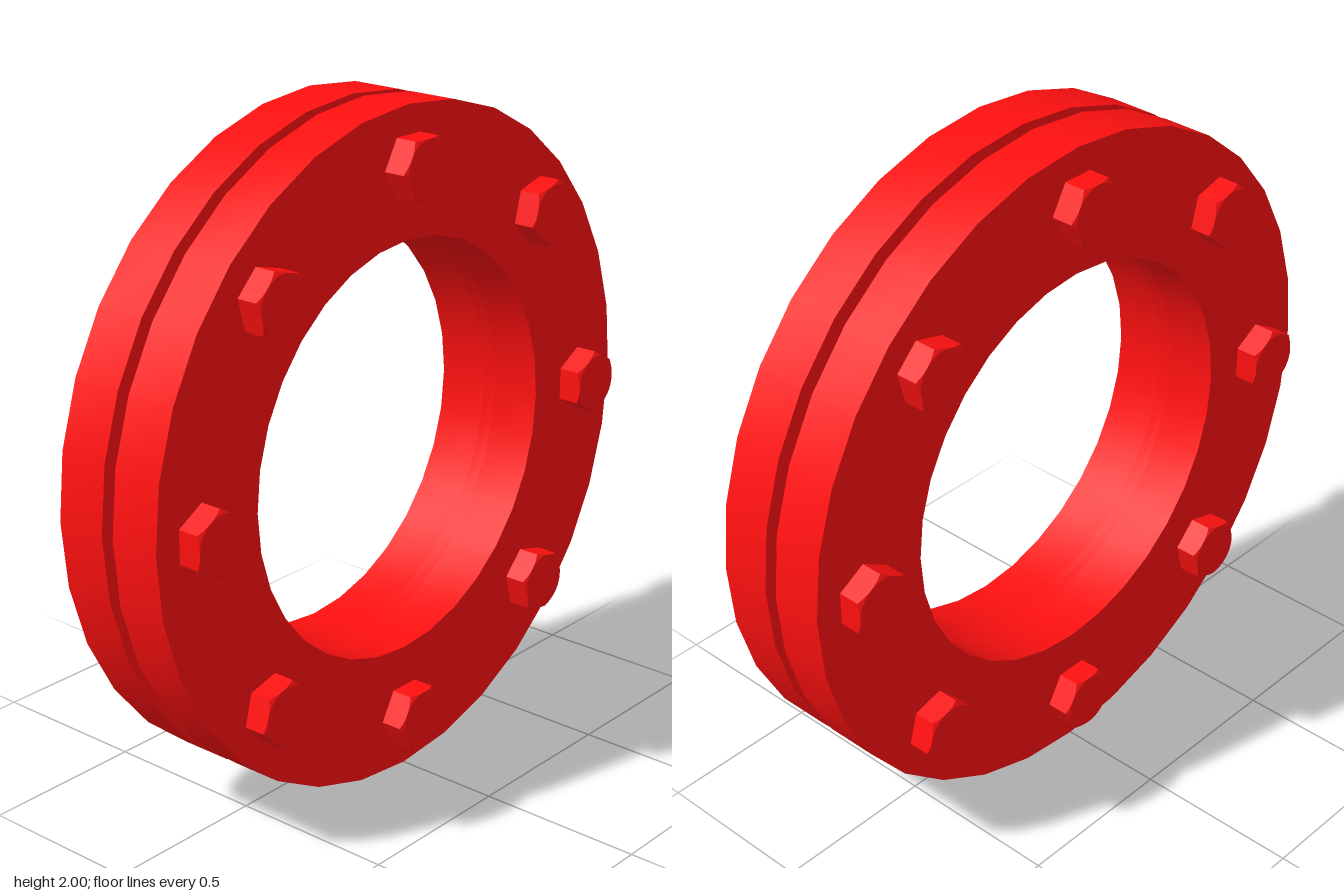
import * as THREE from 'three';
import { toCreasedNormals } from 'three/addons/utils/BufferGeometryUtils.js';

const red = new THREE.MeshStandardMaterial({ color: 0xff1010 });

// Flat ring about the x axis, spanning x0..x1
function ring(name, inner, outer, x0, x1) {
  const profile = [[inner, x0], [outer, x0], [outer, x1], [inner, x1], [inner, x0]]
    .map(([r, x]) => new THREE.Vector2(r, x));
  const geo = toCreasedNormals(new THREE.LatheGeometry(profile, 32), 0.6);
  geo.rotateZ(-Math.PI / 2);
  const mesh = new THREE.Mesh(geo, red);
  mesh.name = name;
  return mesh;
}

// Hexagonal head along +x, its corners trimmed by a shallow cone
function boltHeadGeometry(apothem, height) {
  const base = 1; // marks the rings that follow the hexagon
  const profile = [[base, 0], [base, height], [apothem, height], [0, height]]
    .map(([r, y]) => new THREE.Vector2(r, y));
  const lathe = new THREE.LatheGeometry(profile, 48);
  const p = lathe.attributes.position;
  const sector = Math.PI / 3;
  for (let i = 0; i < p.count; i++) {
    const x = p.getX(i), z = p.getZ(i);
    if (Math.hypot(x, z) < 0.9) continue;
    const angle = Math.atan2(x, z) + 2 * Math.PI;
    const r = apothem / Math.cos((angle % sector) - sector / 2);
    const y = p.getY(i) > 0 ? height - 0.7 * (r - apothem) : 0;
    p.setXYZ(i, x * r, y, z * r);
  }
  const geo = toCreasedNormals(lathe, 0.35);
  geo.rotateZ(-Math.PI / 2);
  return geo;
}

export function createModel() {
  const model = new THREE.Group();
  model.name = 'boltedFlange';
  const assembly = new THREE.Group();
  assembly.name = 'flangeAssembly';
  assembly.position.y = 1;
  model.add(assembly);

  // Two plates with a recessed gasket between them
  assembly.add(
    ring('leftPlate', 0.62, 1, 0.02, 0.178),
    ring('rightPlate', 0.62, 1, -0.178, -0.02),
    ring('gasket', 0.62, 0.71, -0.02, 0.02)
  );

  // Eight bolt positions, with a head on both outer faces
  const headGeo = boltHeadGeometry(0.085, 0.074);
  for (let i = 0; i < 8; i++) {
    const bolt = new THREE.Group();
    bolt.name = 'bolt';
    bolt.rotation.x = i * Math.PI / 4;
    for (const side of [1, -1]) {
      const head = new THREE.Mesh(headGeo, red);
      head.name = side > 0 ? 'leftBoltHead' : 'rightBoltHead';
      head.position.set(side * 0.178, 0.83, 0);
      if (side < 0) head.rotation.y = Math.PI;
      bolt.add(head);
    }
    assembly.add(bolt);
  }
  return model;
}
